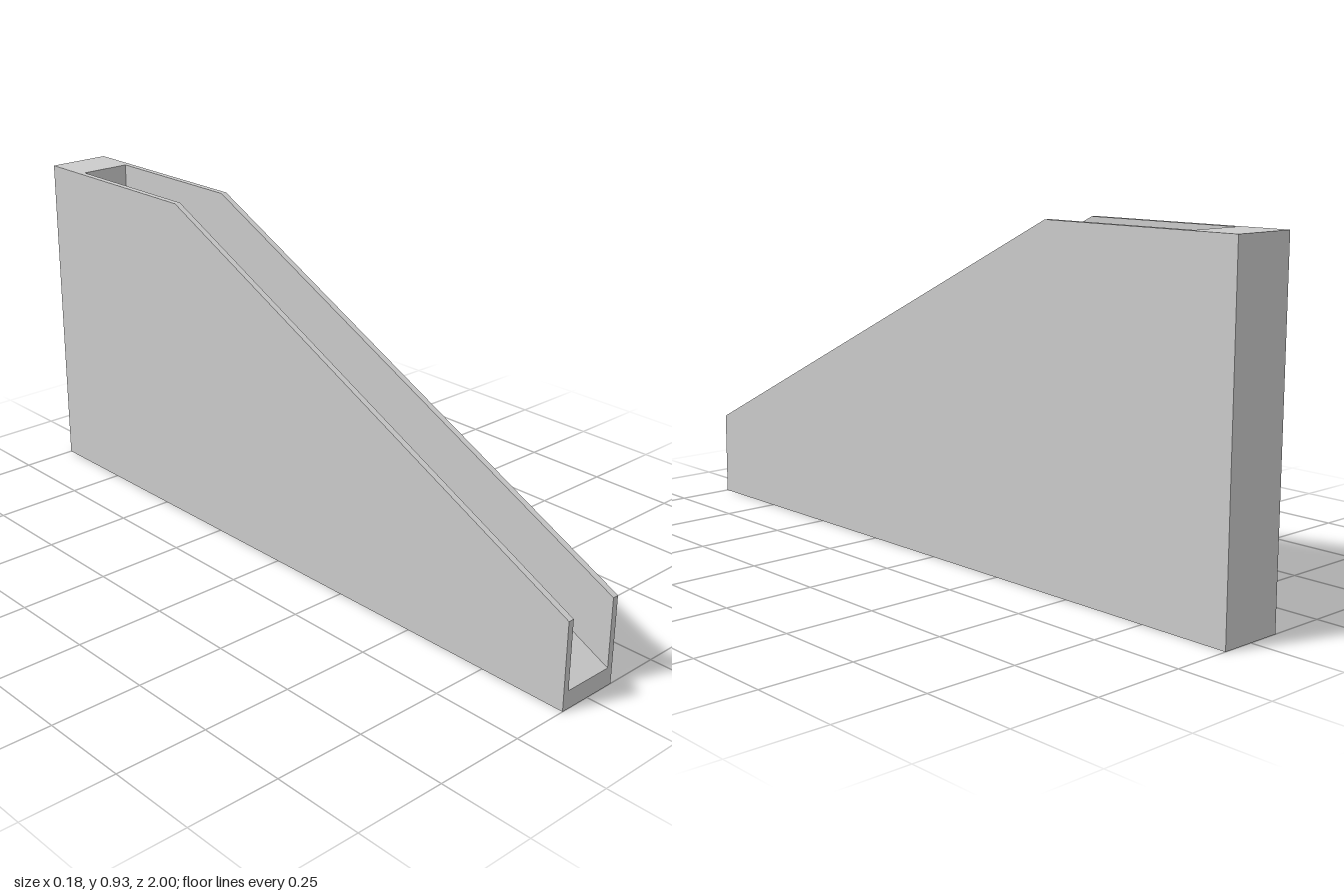
import * as THREE from 'three';
import { toCreasedNormals } from 'three/addons/utils/BufferGeometryUtils.js';

const HALF = 0.09, INNER = 0.073;   // outer and channel half widths
const BEND = 0.415, TOP = 0.93;     // where the slope levels off, and its height

export function createModel() {
  const group = new THREE.Group();
  group.name = 'chute';
  const material = new THREE.MeshStandardMaterial({ color: 0xcccccc });

  // Extrudes a side profile (u = -z, v = y) across the width from x0 to x1
  function addSlab(name, shape, x0, x1) {
    const geometry = new THREE.ExtrudeGeometry(shape, { depth: x1 - x0, bevelEnabled: false, curveSegments: 24 });
    geometry.translate(0, 0, x0);
    geometry.rotateY(Math.PI / 2);
    const mesh = new THREE.Mesh(toCreasedNormals(geometry, 0.2), material);
    mesh.name = name;
    group.add(mesh);
  }

  // Side walls: sloping up from the front, level towards the back
  const wall = new THREE.Shape();
  wall.moveTo(-1, 0);
  wall.lineTo(1, 0);
  wall.lineTo(1, TOP);
  wall.lineTo(BEND, TOP);
  wall.lineTo(-1, 0.24);
  wall.closePath();
  addSlab('leftWall', wall, INNER, HALF);
  addSlab('rightWall', wall, -HALF, -INNER);

  // Channel floor parallel to the wall tops, easing into a level landing, with the back wall
  const floor = new THREE.Shape();
  floor.moveTo(-1, 0);
  floor.lineTo(1, 0);
  floor.lineTo(1, TOP);
  floor.lineTo(0.865, TOP);
  floor.lineTo(0.865, 0.74);
  floor.lineTo(0.56, 0.74);
  floor.quadraticCurveTo(BEND, 0.74, 0.28, 0.674);
  floor.lineTo(-1, 0.05);
  floor.closePath();
  addSlab('floorAndBackWall', floor, -INNER, INNER);

  return group;
}
